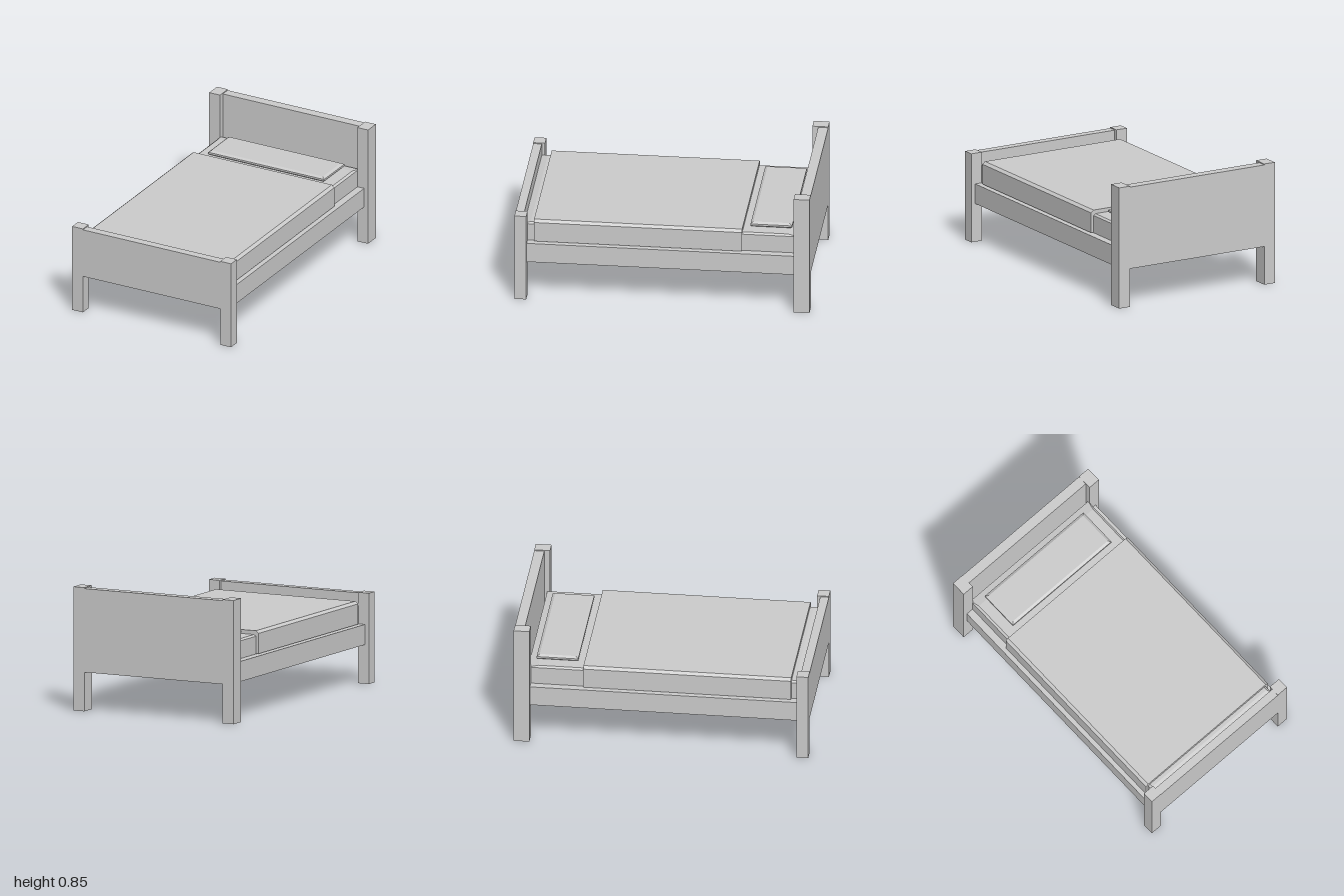
import * as THREE from 'three';

const material = new THREE.MeshStandardMaterial({ color: 0xcccccc, flatShading: true, side: THREE.DoubleSide });

// Box given by its limits on each axis
function box(name, [x0, x1], [y0, y1], [z0, z1]) {
  const geometry = new THREE.BoxGeometry(x1 - x0, y1 - y0, z1 - z0);
  geometry.translate((x0 + x1) / 2, (y0 + y1) / 2, (z0 + z1) / 2);
  const mesh = new THREE.Mesh(geometry, material);
  mesh.name = name;
  return mesh;
}

// Bevelled slab lofted through rectangular sections [y, halfWidth, zBack, zFront]
function slab(name, sections) {
  const positions = [];
  const index = [];
  for (const [y, w, z0, z1] of sections) {
    positions.push(-w, y, z1, w, y, z1, w, y, z0, -w, y, z0);
  }
  for (let s = 0; s < sections.length - 1; s++) {
    for (let i = 0; i < 4; i++) {
      const a = s * 4 + i, b = s * 4 + (i + 1) % 4;
      index.push(a, b, b + 4, a, b + 4, a + 4);
    }
  }
  const t = (sections.length - 1) * 4;
  index.push(0, 2, 1, 0, 3, 2, t, t + 1, t + 2, t, t + 2, t + 3);
  const indexed = new THREE.BufferGeometry();
  indexed.setAttribute('position', new THREE.Float32BufferAttribute(positions, 3));
  indexed.setIndex(index);
  const geometry = indexed.toNonIndexed();
  geometry.computeVertexNormals();
  const mesh = new THREE.Mesh(geometry, material);
  mesh.name = name;
  return mesh;
}

export function createModel() {
  const bed = new THREE.Group();
  bed.name = 'bed';

  // Corner posts, taller at the head
  for (const side of [-1, 1]) {
    const x = side > 0 ? [0.53, 0.613] : [-0.613, -0.53];
    const label = side > 0 ? 'left' : 'right';
    bed.add(box(label + 'HeadPost', x, [0, 0.845], [-1, -0.893]));
    bed.add(box(label + 'FootPost', x, [0, 0.62], [0.92, 1]));
  }

  // End boards, flush with the outer faces of the posts
  bed.add(box('headboard', [-0.53, 0.53], [0.267, 0.838], [-1, -0.932]));
  bed.add(box('footboard', [-0.53, 0.53], [0.267, 0.613], [0.942, 1]));

  // Bed base
  bed.add(box('bedBase', [-0.583, 0.583], [0.267, 0.405], [-0.932, 0.942]));

  // Mattress with bevelled top edges
  bed.add(slab('mattress', [
    [0.407, 0.533, -0.912, 0.942],
    [0.528, 0.533, -0.912, 0.942],
    [0.539, 0.518, -0.845, 0.9],
  ]));

  // Blanket over the mattress
  bed.add(slab('blanket', [
    [0.41, 0.553, -0.535, 0.875],
    [0.549, 0.553, -0.535, 0.875],
    [0.566, 0.533, -0.535, 0.875],
  ]));

  // Pillow
  bed.add(slab('pillow', [
    [0.541, 0.428, -0.845, -0.6],
    [0.553, 0.447, -0.864, -0.582],
    [0.566, 0.447, -0.864, -0.582],
    [0.577, 0.428, -0.845, -0.6],
  ]));

  return bed;
}
